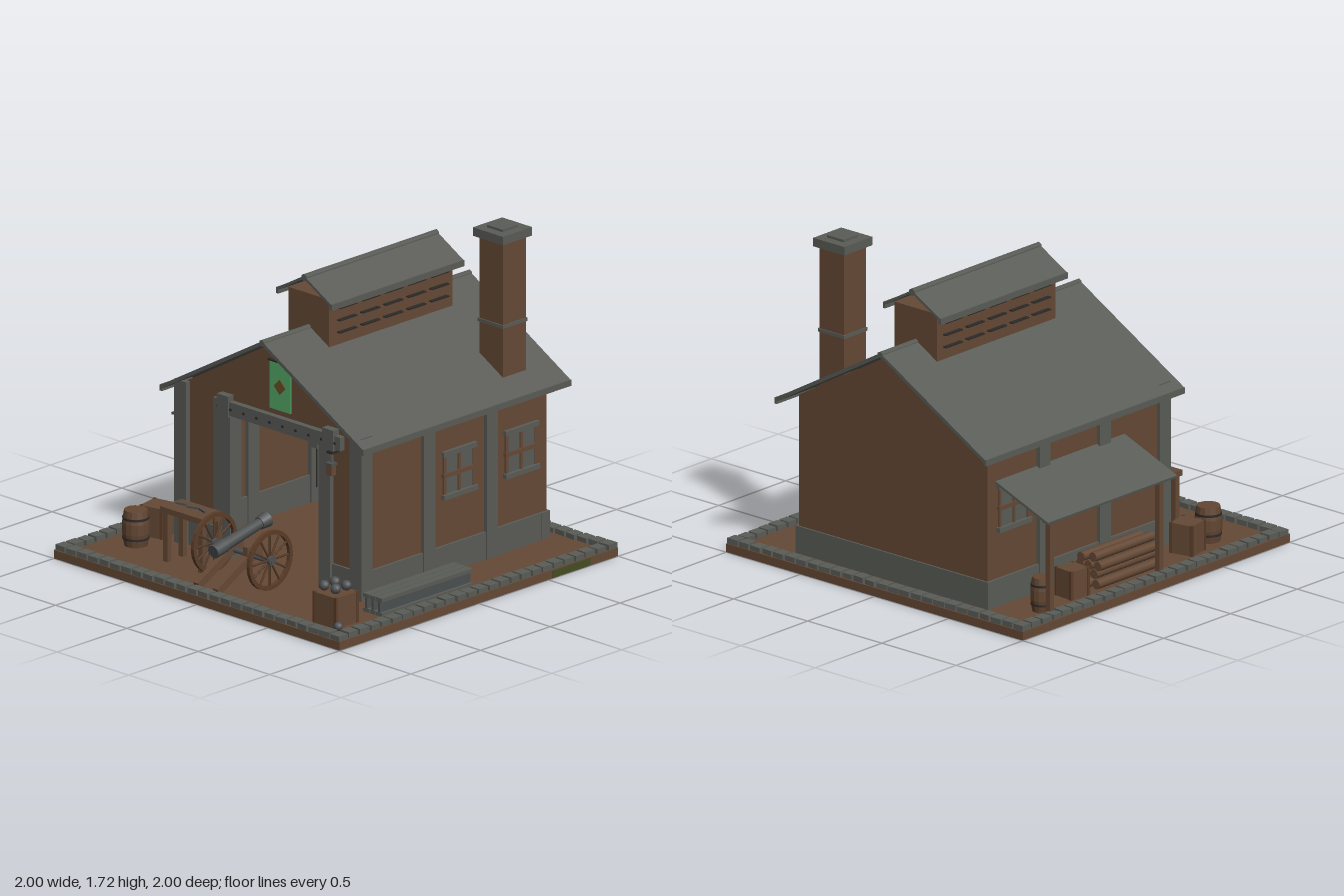
import * as THREE from 'three';

const mat = (name, color, extra = {}) => {
  const m = new THREE.MeshStandardMaterial({ color, ...extra });
  m.name = name;
  return m;
};

export function createModel() {
  const wood = mat('brown wood', 0x654935);
  const darkWood = mat('dark wood', 0x5a3c28);
  const stone = mat('grey stone', 0x5a5c57);
  const iron = mat('iron', 0x4c4f50);
  const dark = mat('dark iron', 0x2c2a28);
  const green = mat('banner green', 0x55a866);
  const gold = mat('banner emblem', 0x6a4f24);
  const moss = mat('moss', 0x434d22);

  const model = new THREE.Group();
  let seed = 7;
  const rand = () => (seed = (seed * 16807) % 2147483647) / 2147483647 - 0.5;

  const add = (name, geo, m, x = 0, y = 0, z = 0, parent = model) => {
    if (!geo.attributes.normal) geo.computeVertexNormals();
    const mesh = new THREE.Mesh(geo, m);
    mesh.name = name;
    mesh.position.set(x, y, z);
    parent.add(mesh);
    return mesh;
  };
  // Box given by its limits on each axis
  const span = (name, m, x0, x1, y0, y1, z0, z1, parent) => add(name,
    new THREE.BoxGeometry(x1 - x0, y1 - y0, z1 - z0), m, (x0 + x1) / 2, (y0 + y1) / 2, (z0 + z1) / 2, parent);
  // Round rod between two points
  const rod = (name, m, a, b, r, sides = 8, r2 = r, parent = model) => {
    const p = new THREE.Vector3(...a), q = new THREE.Vector3(...b), d = q.clone().sub(p);
    const mesh = add(name, new THREE.CylinderGeometry(r2, r, d.length(), sides), m, 0, 0, 0, parent);
    mesh.position.copy(p).add(q).multiplyScalar(0.5);
    mesh.quaternion.setFromUnitVectors(new THREE.Vector3(0, 1, 0), d.normalize());
    return mesh;
  };
  const poly = pts => new THREE.Shape(pts.map(p => new THREE.Vector2(...p)));
  const extrude = (name, m, shape, z0, z1) => add(name,
    new THREE.ExtrudeGeometry(shape, { depth: z1 - z0, bevelEnabled: false }), m, 0, 0, z0);
  // Ridged roof with eave strips and ridge pole
  const gableRoof = (name, half, eave, ridge, t, z0, z1, r) => {
    extrude(name, stone, poly([[-half, eave], [0, ridge], [half, eave], [half, eave - t], [0, ridge - t], [-half, eave - t]]), z0, z1);
    for (const s of [-1, 1]) span(name + 'Eave', stone, s * (half - 0.004) - 0.008, s * (half - 0.004) + 0.008, eave - 0.03, eave + 0.002, z0, z1);
    rod(name + 'Ridge', stone, [0, ridge - 0.01, z0 - 0.001], [0, ridge - 0.01, z1 + 0.001], r, 6);
  };

  // Base slab with moss and a kerb of rough stones
  const G = 0.045;
  span('base', wood, -1, 1, 0, G, -1, 1);
  span('mossSide', moss, 0.999, 1.002, 0.002, 0.04, -0.8, -0.53);
  for (const [x, z, r] of [[0.6, -0.6, 0.13], [-0.1, -0.35, 0.09], [0.35, 0.25, 0.08], [-0.6, 0.5, 0.1], [0.85, 0.2, 0.08]])
    add('mossPatch', new THREE.CylinderGeometry(r, r, 0.003, 7), moss, x, 0.0005, z).scale.z = 0.7;
  const kerb = new THREE.Group();
  kerb.name = 'kerbStones';
  model.add(kerb);
  for (let side = 0; side < 4; side++) for (let i = 0; i < 25; i++) {
    const a = side * Math.PI / 2, u = -0.965 + i * 0.0772, v = 0.962 + rand() * 0.006;
    const s = add('kerbStone', new THREE.BoxGeometry(0.064 + rand() * 0.008, 0.034 + rand() * 0.008, 0.062), stone,
      u * Math.cos(a) + v * Math.sin(a), 0.056, -u * Math.sin(a) + v * Math.cos(a), kerb);
    s.rotation.y = a + rand() * 0.16;
  }

  // Gabled end walls, the front one with the door opening, and side walls
  const outline = [[-0.635, G], [0.635, G], [0.635, 0.885], [0, 1.25], [-0.635, 0.885]];
  extrude('backWall', wood, poly(outline), -0.86, -0.82);
  extrude('frontWall', wood, poly([[-0.635, G], [-0.3, G], [-0.3, 0.83], [0.38, 0.83], [0.38, G], ...outline.slice(1)]), 0.42, 0.46);
  for (const s of [-1, 1]) span('sideWall', wood, s * 0.615 - 0.02, s * 0.615 + 0.02, G, 0.88, -0.82, 0.42);
  // Stone footing
  span('backFooting', stone, -0.65, 0.65, G, 0.19, -0.87, -0.81);
  span('frontFooting', stone, -0.65, -0.3, G, 0.19, 0.41, 0.472);
  span('frontFooting', stone, 0.38, 0.65, G, 0.19, 0.41, 0.472);
  for (const s of [-1, 1]) {
    span('sideFooting', stone, s * 0.615 - 0.034, s * 0.615 + 0.034, G, 0.19, -0.868, 0.47);
    // Pillars
    for (const z of [0.45, 0, -0.45])
      span('pillar', stone, s * 0.615 - 0.042, s * 0.615 + 0.042, G, z > 0.1 ? 0.91 : 0.87, z - 0.04, z + 0.04);
    // Windows with four panes, glazing bars, lintel and sill
    for (const z of [-0.225, -0.67]) {
      const X = s * 0.638;
      for (const dz of [-0.055, 0.055]) for (const dy of [-0.055, 0.055])
        span('windowPane', stone, X - 0.004, X + 0.004, 0.562 + dy - 0.046, 0.562 + dy + 0.046, z + dz - 0.045, z + dz + 0.045);
      for (const dz of [-0.104, 0, 0.104])
        span('windowUpright', wood, X - 0.009, X + 0.009, 0.45, 0.68, z + dz - 0.008, z + dz + 0.008);
      span('windowBar', wood, X - 0.015, X + 0.015, 0.55, 0.572, z - 0.118, z + 0.118);
      span('windowLintel', stone, X - 0.017, X + 0.017, 0.662, 0.688, z - 0.12, z + 0.12);
      span('windowSill', stone, X - 0.022, X + 0.022, 0.435, 0.46, z - 0.122, z + 0.122);
    }
  }

  // Door frame: posts, riveted beam and caps
  span('doorPost', stone, -0.383, -0.267, G, 0.83, 0.405, 0.485);
  span('doorPost', stone, 0.35, 0.432, G, 0.83, 0.405, 0.485);
  span('doorBeam', stone, -0.38, 0.51, 0.81, 0.882, 0.41, 0.493);
  for (const x of [-0.306, 0.431]) span('beamCap', stone, x - 0.039, x + 0.039, 0.8, 0.912, 0.4, 0.502);
  for (let i = 0; i < 10; i++)
    add('rivet', new THREE.CylinderGeometry(0.008, 0.008, 0.008, 6), dark, -0.345 + i * 0.091, 0.845, 0.495).rotation.x = Math.PI / 2;
  // Banner
  span('banner', green, -0.01, 0.137, 0.91, 1.165, 0.46, 0.467);
  rod('bannerRod', dark, [-0.018, 1.167, 0.466], [0.145, 1.167, 0.466], 0.007, 6);
  add('bannerDiamond', new THREE.BoxGeometry(0.058, 0.058, 0.004), gold, 0.064, 1.036, 0.469).rotation.z = Math.PI / 4;
  // Wall lantern
  span('lanternBracket', dark, 0.435, 0.475, 0.79, 0.802, 0.46, 0.515);
  rod('lanternHook', iron, [0.455, 0.73, 0.5], [0.455, 0.8, 0.5], 0.004, 6);
  span('lanternBody', wood, 0.437, 0.473, 0.675, 0.728, 0.483, 0.518);
  span('lanternCap', iron, 0.432, 0.478, 0.728, 0.74, 0.478, 0.522);

  // Main roof and louvred roof vent
  gableRoof('roof', 0.71, 0.875, 1.28, 0.022, -0.957, 0.533, 0.018);
  span('ventBody', wood, -0.143, 0.143, 1.15, 1.45, -0.69, 0.195);
  gableRoof('ventRoof', 0.192, 1.443, 1.552, 0.016, -0.72, 0.23, 0.02);
  for (const s of [-1, 1]) for (const y of [1.265, 1.33, 1.395]) for (let i = 0; i < 5; i++)
    span('louvre', dark, s * 0.152 - 0.014, s * 0.152 + 0.014, y - 0.003, y + 0.003, 0.015 - i * 0.165, 0.14 - i * 0.165);

  // Chimney
  span('chimney', wood, 0.42, 0.585, 0.7, 1.67, -0.762, -0.598);
  span('chimneyBand', stone, 0.414, 0.591, 1.207, 1.225, -0.768, -0.592);
  span('chimneyCap', stone, 0.397, 0.607, 1.66, 1.705, -0.785, -0.575);
  span('chimneyTop', stone, 0.447, 0.557, 1.7, 1.718, -0.735, -0.625);

  // Lean-to shelter
  extrude('leanToRoof', stone, poly([[-0.635, 0.708], [-0.99, 0.57], [-0.987, 0.557], [-0.635, 0.693]]), -0.8, 0.168);
  for (const z of [-0.72, 0.1]) span('leanToPost', wood, -0.945, -0.915, G, 0.575, z - 0.015, z + 0.015);
  span('leanToRail', wood, -0.942, -0.918, 0.545, 0.572, -0.76, 0.14);
  // Stacked logs
  for (let row = 0; row < 4; row++) for (let i = 0; i < (row % 2 ? 2 : 3); i++) {
    const x = -0.845 + i * 0.052 + (row % 2) * 0.026, y = 0.072 + row * 0.046, e = rand() * 0.05;
    rod('log', wood, [x, y, -0.29 + e], [x, y, 0.15 + e], 0.026, 8);
  }

  // Barrels and crates
  const barrel = (x, z, r, h) => {
    const pts = [[0, 0], [r * 0.85, 0], [r, h * 0.35], [r, h * 0.65], [r * 0.85, h], [0, h]].map(p => new THREE.Vector2(...p));
    add('barrel', new THREE.LatheGeometry(pts, 14), mat0, x, G, z);
    for (const k of [0.22, 0.78]) add('barrelHoop', new THREE.CylinderGeometry(r * 0.985, r * 0.985, h * 0.06, 14), dark, x, G + h * k, z);
  };
  const mat0 = mat('barrel wood', 0x624632, { flatShading: true });
  barrel(-0.762, 0.655, 0.07, 0.188);
  barrel(-0.85, -0.69, 0.058, 0.18);
  const crate = (x, z, s, h, turn) => {
    const g = new THREE.Group();
    g.name = 'crate';
    g.position.set(x, G, z);
    g.rotation.y = turn;
    model.add(g);
    span('crateBox', wood, -s / 2, s / 2, 0, h, -s / 2, s / 2, g);
    for (const a of [-1, 1]) for (const b of [-1, 1])
      add('crateCorner', new THREE.BoxGeometry(0.016, h + 0.004, 0.016), darkWood, a * (s / 2 - 0.005), h / 2, b * (s / 2 - 0.005), g);
  };
  crate(-0.795, 0.462, 0.13, 0.16, 0.2);
  crate(-0.81, -0.42, 0.12, 0.15, -0.1);
  crate(0.772, 0.793, 0.16, 0.163, 0);
  // Cannonballs on the crate
  for (const x of [0.73, 0.81]) for (const z of [0.755, 0.832])
    add('cannonball', new THREE.IcosahedronGeometry(0.028, 1), iron, x, 0.24, z);
  add('cannonball', new THREE.IcosahedronGeometry(0.024, 1), iron, 0.875, 0.068, 0.88);

  // Iron beams lying beside the wall
  for (const x of [0.776, 0.822, 0.868]) {
    span('beamFoot', stone, x - 0.021, x + 0.021, G, 0.065, -0.07, 0.58);
    span('beamWeb', iron, x - 0.007, x + 0.007, 0.065, 0.122, -0.07, 0.58);
    span('beamHead', stone, x - 0.021, x + 0.021, 0.122, 0.142, -0.07, 0.58);
  }

  // Workbench with tools
  span('benchTop', wood, -0.505, -0.2, 0.305, 0.335, 0.59, 0.745);
  for (const x of [-0.475, -0.23]) for (const z of [0.612, 0.723]) span('benchLeg', wood, x - 0.016, x + 0.016, G, 0.305, z - 0.014, z + 0.014);
  [-0.445, -0.365, -0.295].forEach((x, i) => {
    add('tool', new THREE.BoxGeometry(0.06, 0.01, 0.012), iron, x, 0.34, 0.655).rotation.y = [0.25, 0.3, -0.3][i];
  });

  // Field cannon: barrel, axle, trails and spoked wheels
  const at = (z) => [0, 0.25 + (0.87 - z) * 0.21, z];
  rod('cannonBarrel', iron, at(0.87), at(0.51), 0.034, 14, 0.027);
  rod('cannonMuzzle', iron, at(0.55), at(0.495), 0.033, 14, 0.042);
  rod('cannonBreech', iron, at(0.88), at(0.8), 0.036, 14);
  rod('axle', iron, [-0.22, 0.195, 0.672], [0.22, 0.195, 0.672], 0.014, 8);
  for (const s of [-1, 1]) {
    const trail = add('trail', new THREE.BoxGeometry(0.032, 0.042, 0.36), wood, s * 0.068, 0.15, 0.77);
    trail.rotation.x = 0.5;
    span('cheek', wood, s * 0.068 - 0.016, s * 0.068 + 0.016, 0.17, 0.25, 0.61, 0.72);
    const wheel = new THREE.Group();
    wheel.name = 'wheel';
    wheel.position.set(s * 0.195, 0.202, 0.675);
    wheel.rotation.y = Math.PI / 2;
    model.add(wheel);
    const rim = new THREE.Shape().absarc(0, 0, 0.157, 0, Math.PI * 2);
    rim.holes.push(new THREE.Path().absarc(0, 0, 0.135, 0, Math.PI * 2, true));
    add('wheelRim', new THREE.ExtrudeGeometry(rim, { depth: 0.02, bevelEnabled: false, curveSegments: 12 }), darkWood, 0, 0, -0.01, wheel);
    for (let i = 0; i < 12; i++) {
      const a = i * Math.PI / 6;
      rod('spoke', darkWood, [0, 0, 0], [0.14 * Math.cos(a), 0.14 * Math.sin(a), 0], 0.006, 5, 0.006, wheel);
    }
    rod('hub', iron, [0, 0, -0.02], [0, 0, 0.02], 0.024, 10, 0.024, wheel);
  }

  // Forge with hood, crane with hanging block, and anvil inside
  span('forge', stone, 0.24, 0.595, G, 0.33, -0.81, -0.45);
  span('forgeHood', stone, 0.245, 0.595, 0.6, 0.7, -0.81, -0.5);
  rod('cranePole', dark, [0.125, G, 0.2], [0.125, 0.78, 0.2], 0.009, 8);
  span('craneArm', dark, -0.01, 0.38, 0.765, 0.78, 0.19, 0.21);
  span('hoistBlock', stone, 0.037, 0.092, 0.655, 0.735, 0.18, 0.23);
  rod('hoistChain', dark, [0.065, 0.44, 0.205], [0.065, 0.77, 0.205], 0.004, 6);
  rod('anvilStump', wood, [0.11, G, 0.05], [0.11, 0.23, 0.05], 0.055, 10);
  span('anvilFoot', iron, 0.08, 0.14, 0.23, 0.28, 0.02, 0.08);
  span('anvilTop', iron, 0.06, 0.17, 0.28, 0.32, 0.015, 0.085);
  return model;
}
